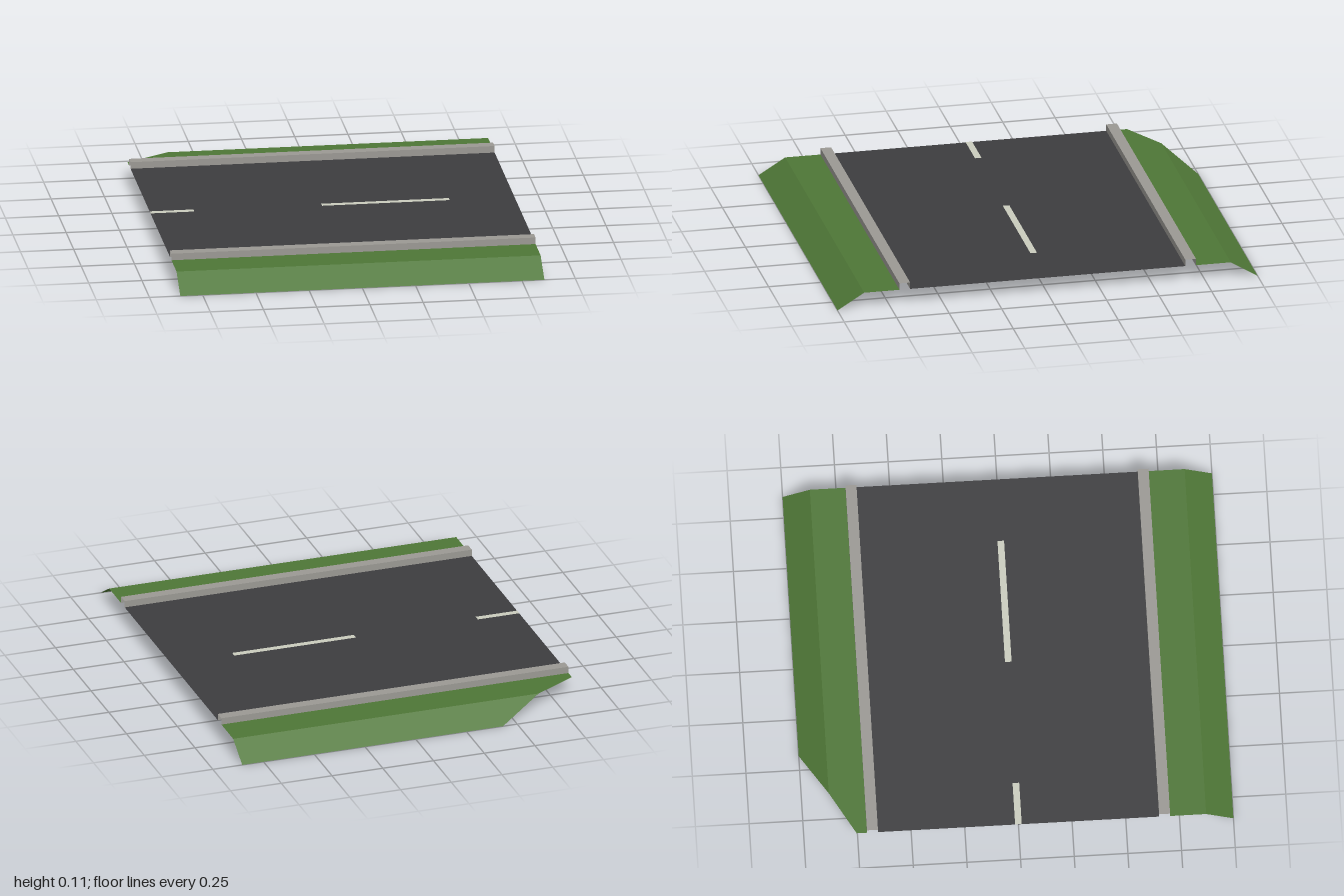
import * as THREE from 'three';

const HALF = 0.855;      // half length of the road section along x
const LEVEL = 0.078;     // road and verge height
const CURB_TOP = 0.11;

// Open sheet swept along x from a cross-section of [z, y, xMin, xMax], z ascending
function sheet(name, color, profile) {
  const pos = [];
  for (let i = 0; i < profile.length - 1; i++) {
    const [z0, y0, a0 = -HALF, b0 = HALF] = profile[i];
    const [z1, y1, a1 = -HALF, b1 = HALF] = profile[i + 1];
    pos.push(a0, y0, z0, a1, y1, z1, b1, y1, z1);
    pos.push(a0, y0, z0, b1, y1, z1, b0, y0, z0);
  }
  const geo = new THREE.BufferGeometry();
  geo.setAttribute('position', new THREE.Float32BufferAttribute(pos, 3));
  geo.computeVertexNormals();
  const mat = new THREE.MeshStandardMaterial({ color, side: THREE.DoubleSide });
  const mesh = new THREE.Mesh(geo, mat);
  mesh.name = name;
  return mesh;
}

export function createModel() {
  const group = new THREE.Group();
  group.name = 'roadSection';

  // Asphalt
  group.add(sheet('roadSurface', 0x3d3d3f, [[-0.656, LEVEL], [0.654, LEVEL]]));

  // Centre line dashes
  for (const [x0, x1] of [[-HALF, -0.65], [-0.05, 0.55]]) {
    const y = LEVEL + 0.002;
    group.add(sheet('laneDash', 0xc9cbbd, [[-0.017, y, x0, x1], [0.014, y, x0, x1]]));
  }

  // Curbs, open underneath and at the ends
  for (const [name, z0, z1] of [['frontCurb', 0.654, 0.705], ['backCurb', -0.707, -0.656]]) {
    group.add(sheet(name, 0x9a9893, [[z0, LEVEL], [z0, CURB_TOP], [z1, CURB_TOP], [z1, LEVEL]]));
  }

  // Grass verges: flat shoulder, then a bank down to the ground; back one has a cut corner
  const green = 0x4e7636;
  group.add(sheet('frontVerge', green, [[0.705, LEVEL], [0.873, LEVEL], [1, 0]]));
  group.add(sheet('backVerge', green, [
    [-1, 0, -0.43], [-0.873, LEVEL, -0.65], [-0.755, LEVEL], [-0.707, LEVEL],
  ]));

  return group;
}
